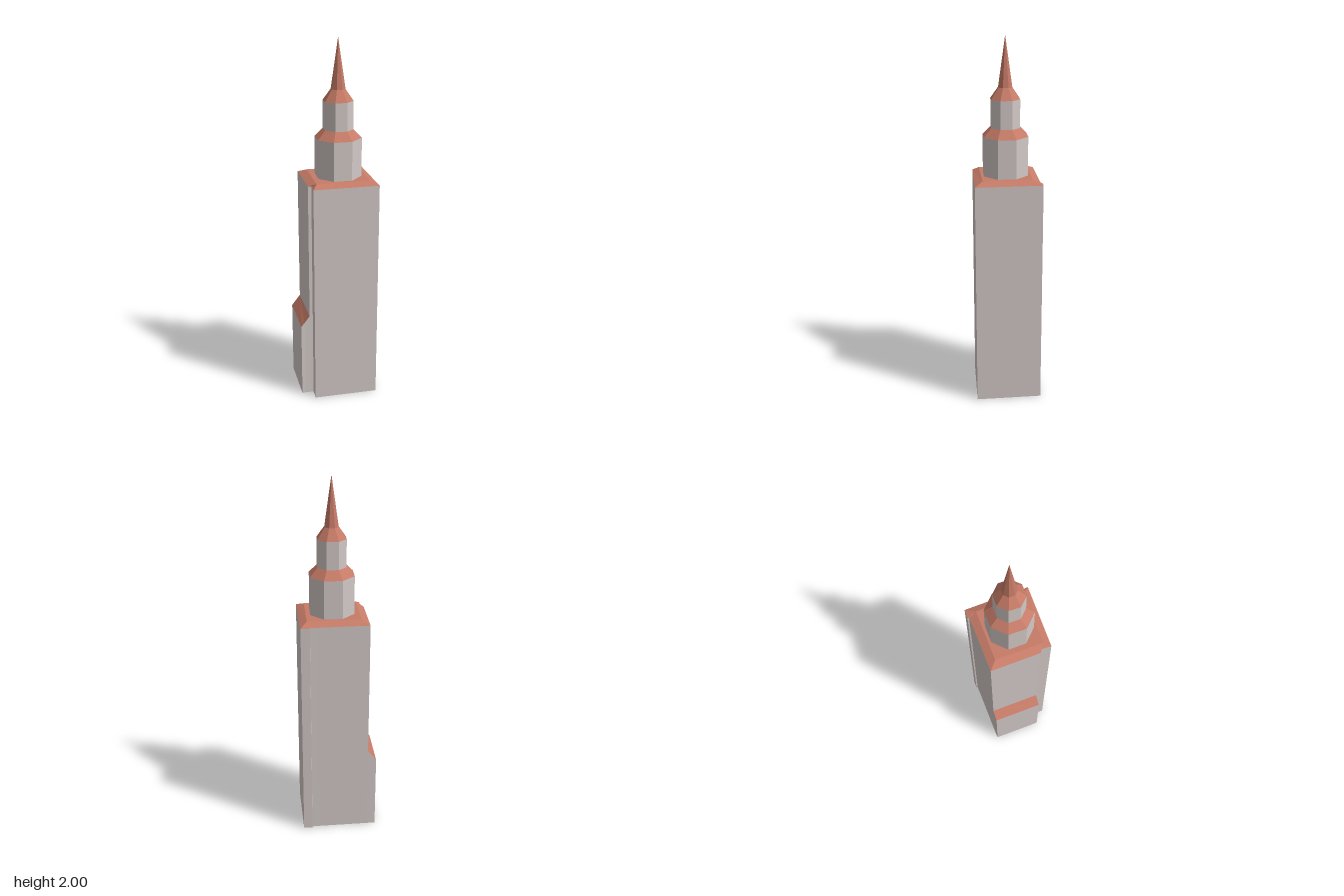
import * as THREE from 'three';

const wallMat = new THREE.MeshStandardMaterial({ color: 0xd2c9c6, flatShading: true });
const roofMat = new THREE.MeshStandardMaterial({ color: 0xc67b67, flatShading: true });

// Plan outlines as [x, z], counter-clockwise seen from above
const towerPlan = [
  [-0.218, 0.087], [0.098, 0.245], [0.248, -0.08], [0.205, -0.102], [0.2, -0.095],
  [0.163, -0.111], [-0.087, -0.228], [-0.204, 0.021], [-0.188, 0.029],
];
const roofTop = [[-0.18, 0.066], [0.079, 0.189], [0.193, -0.05], [-0.066, -0.173]];
const roofCorner = [0, 1, 2, 2, 2, 2, 3, 0, 0]; // roof top corner above each eave point
const annexPlan = [[-0.087, -0.228], [-0.13, -0.247], [-0.248, 0.002], [-0.23, 0.009], [-0.204, 0.021]];
const annexHeights = [0.49, 0.43, 0.43, 0.452, 0.49];

const at = (plan, y) => plan.map(([x, z], i) => [x, Array.isArray(y) ? y[i] : y, z]);

// Side walls between two rings of equal length
function sides(low, high) {
  const tris = [];
  low.forEach((a, i) => {
    const j = (i + 1) % low.length;
    const b = low[j], c = high[j], d = high[i];
    tris.push([a, b, c]);
    if (c !== d) tris.push([a, c, d]);
  });
  return tris;
}

// Fan over a convex ring
const fan = (ring) => ring.slice(2).map((p, i) => [ring[0], ring[i + 1], p]);

function surface(name, tris, mat) {
  const geo = new THREE.BufferGeometry();
  geo.setAttribute('position', new THREE.Float32BufferAttribute(tris.flat(2), 3));
  geo.computeVertexNormals();
  const mesh = new THREE.Mesh(geo, mat);
  mesh.name = name;
  return mesh;
}

export function createModel() {
  const model = new THREE.Group();
  model.name = 'tower';

  // Main shaft
  const shape = new THREE.Shape(towerPlan.map(([x, z]) => new THREE.Vector2(x, -z)));
  const shaftGeo = new THREE.ExtrudeGeometry(shape, { depth: 1.25, bevelEnabled: false });
  const shaft = new THREE.Mesh(shaftGeo.rotateX(-Math.PI / 2), wallMat);
  shaft.name = 'shaft';
  model.add(shaft);

  // Low hipped roof with a flat middle
  const top = at(roofTop, 1.27);
  const slopes = sides(at(towerPlan, 1.25), roofCorner.map((k) => top[k]));
  model.add(surface('shaftRoof', [...slopes, ...fan(top)], roofMat));

  // Annex with a lean-to roof
  const annexBase = at(annexPlan, 0);
  const annexTop = at(annexPlan, annexHeights);
  model.add(surface('annexWalls', [...sides(annexBase, annexTop), ...fan([...annexBase].reverse())], wallMat));
  model.add(surface('annexRoof', fan(annexTop), roofMat));

  // Octagonal stages and spire: name, bottom y, top y, bottom radius, top radius
  const stages = [
    ['lowerLantern', 1.26, 1.48, 0.127, 0.127, wallMat],
    ['lowerLanternRoof', 1.48, 1.525, 0.127, 0.082, roofMat],
    ['upperLantern', 1.525, 1.675, 0.082, 0.082, wallMat],
    ['spireFoot', 1.675, 1.735, 0.082, 0.039, roofMat],
    ['spire', 1.735, 2, 0.039, 0, roofMat],
  ];
  for (const [name, y0, y1, r0, r1, mat] of stages) {
    const geo = new THREE.CylinderGeometry(r1, r0, y1 - y0, 8, 1, true);
    const mesh = new THREE.Mesh(geo.rotateY(-0.06), mat);
    mesh.position.set(0.008, (y0 + y1) / 2, 0.009);
    mesh.name = name;
    model.add(mesh);
  }
  return model;
}
